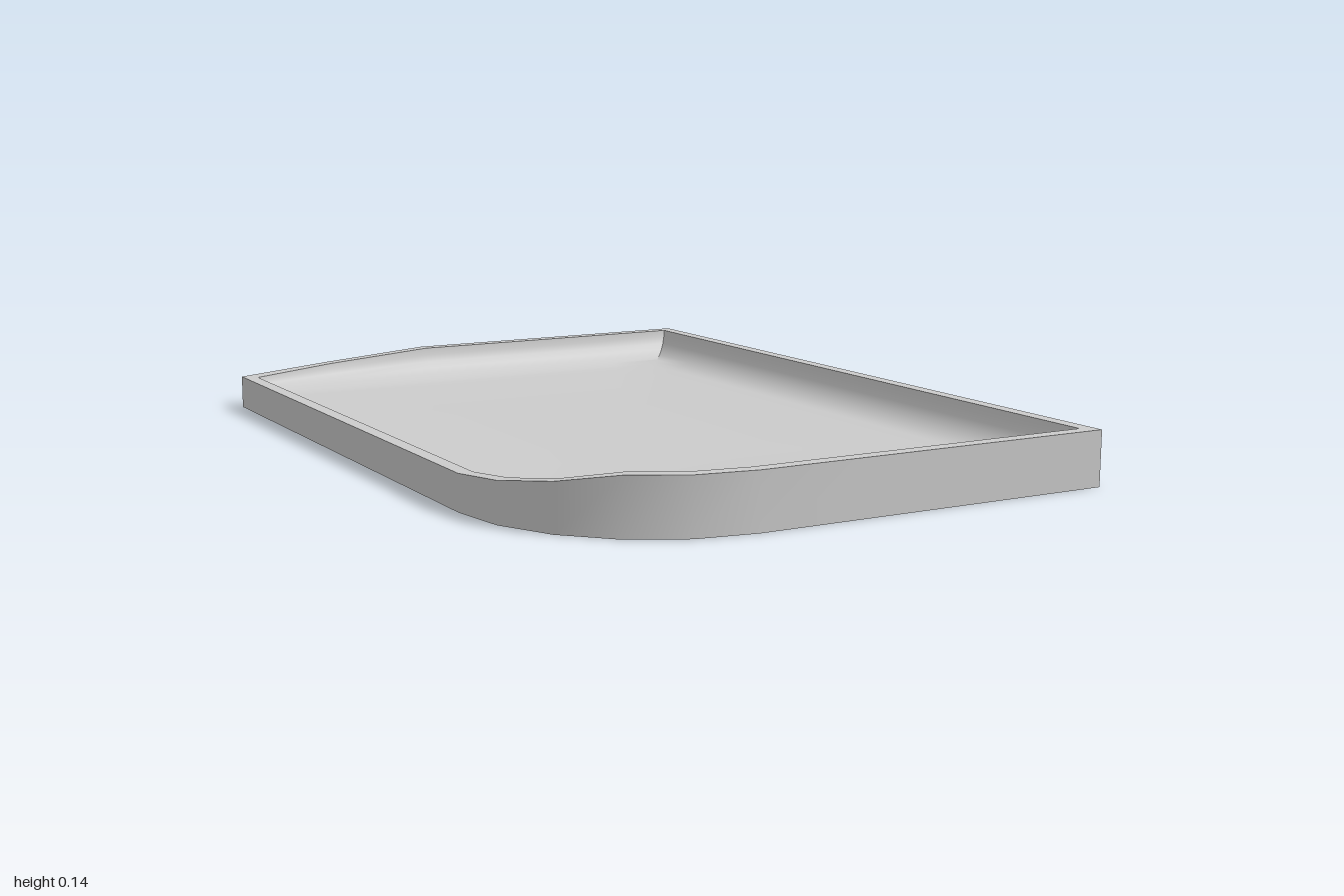
import * as THREE from 'three';
import { toCreasedNormals } from 'three/addons/utils/BufferGeometryUtils.js';

const HX = 0.705, HZ = 1, TOP = 0.136, LOW = 0.088;
const RIM = 0.036, FILLET = 0.1, FLOOR_EDGE = 0.045, FLOOR_MID = 0.032;

// Outline stations [x, z, rim height, corner angle], counterclockwise from above
function makeStations() {
  const s = [];
  for (const z of [-1, -0.75, -0.4, 0, 0.3]) s.push([-HX, z, LOW]);
  [LOW, 0.098, 0.114, TOP, TOP, TOP].forEach((h, i) => s.push([0, 0, h, i * Math.PI / 10]));
  for (const x of [0.1, 0.45, HX]) s.push([x, HZ, TOP]);
  for (const z of [0.75, 0.4, 0, -0.4, -0.75, -1]) s.push([HX, z, TOP]);
  for (const x of [0.45, 0.15, -0.15]) s.push([x, -HZ, TOP]);
  s.push([-0.45, -HZ, (TOP + LOW) / 2]);
  return s;
}

// Station moved inwards by d; the rounded corner keeps its centre
function inset([x, z, , a], d) {
  if (a !== undefined) {
    return [-0.23 - (0.475 - d) * Math.cos(a), 0.52 + (0.48 - d) * Math.sin(a)];
  }
  return [THREE.MathUtils.clamp(x, d - HX, HX - d), THREE.MathUtils.clamp(z, d - HZ, HZ - d)];
}

function trayGeometry() {
  const stations = makeStations(), n = stations.length;
  const rings = [];
  const addRing = (d, scale, height) => rings.push(stations.map((s) => {
    const [x, z] = inset(s, d);
    return [x * scale, height(s[2]), z * scale];
  }));

  // Outer wall and rim
  addRing(0, 1, () => 0);
  addRing(0, 1, (h) => h);
  // Rounded inner wall
  for (let i = 0; i <= 7; i++) {
    const t = (i / 7) * Math.PI / 2;
    addRing(RIM + FILLET * (1 - Math.cos(t)), 1,
      (h) => FLOOR_EDGE + (h - FLOOR_EDGE) * (1 - Math.sin(t)));
  }
  // Gently dished floor
  for (const r of [0.85, 0.65, 0.45, 0.22]) {
    addRing(RIM + FILLET, r, () => FLOOR_MID + (FLOOR_EDGE - FLOOR_MID) * r * r);
  }

  const positions = rings.flat(2), index = [];
  const last = rings.length - 1, floorMid = rings.length * n, baseMid = floorMid + 1;
  positions.push(0, FLOOR_MID, 0, 0, 0, 0);
  for (let k = 0; k < n; k++) {
    const m = (k + 1) % n;
    for (let i = 0; i < last; i++) {
      const a = i * n + k, b = i * n + m;
      index.push(a, b, b + n, a, b + n, a + n);
    }
    index.push(last * n + k, last * n + m, floorMid); // floor centre
    index.push(m, k, baseMid); // underside
  }
  const geo = new THREE.BufferGeometry();
  geo.setAttribute('position', new THREE.Float32BufferAttribute(positions, 3));
  geo.setIndex(index);
  return toCreasedNormals(geo, 0.6);
}

export function createModel() {
  const group = new THREE.Group();
  group.name = 'shallowTray';
  const tray = new THREE.Mesh(trayGeometry(), new THREE.MeshStandardMaterial({ color: 0xcccccc }));
  tray.name = 'trayBody';
  group.add(tray);
  return group;
}
